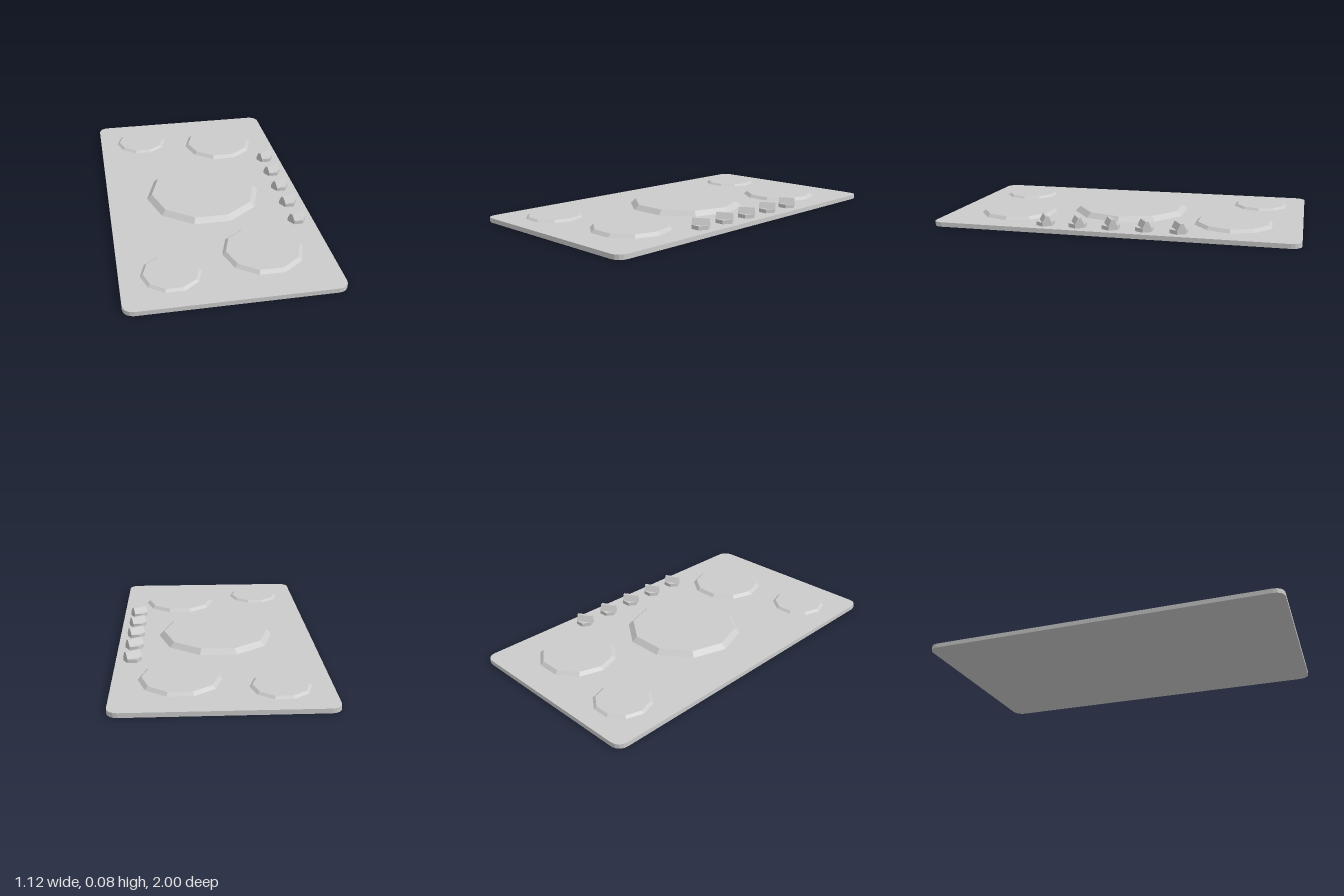
import * as THREE from 'three';

const material = new THREE.MeshStandardMaterial({ color: 0xcccccc, flatShading: true });
const PLATE_TOP = 0.025;

function addMesh(parent, name, geometry) {
  const mesh = new THREE.Mesh(geometry, material);
  mesh.name = name;
  parent.add(mesh);
  return mesh;
}

// Flat slab with small faceted corners
function plateGeometry(w, d, r, h) {
  const x = w / 2, y = d / 2;
  const s = new THREE.Shape();
  s.absarc(x - r, y - r, r, 0, Math.PI / 2);
  s.absarc(-x + r, y - r, r, Math.PI / 2, Math.PI);
  s.absarc(-x + r, -y + r, r, Math.PI, Math.PI * 1.5);
  s.absarc(x - r, -y + r, r, Math.PI * 1.5, Math.PI * 2);
  return new THREE.ExtrudeGeometry(s, { depth: h, bevelEnabled: false, curveSegments: 2 })
    .rotateX(-Math.PI / 2);
}

// Prism standing on the plate, with a corner pointing along +x
function prism(topRadius, baseRadius, height, sides) {
  return new THREE.CylinderGeometry(topRadius, baseRadius, height, sides, 1, false, Math.PI / 2)
    .translate(0, height / 2, 0);
}

// Hexagonal knob with a tapered grip running across it at an angle
function createKnob() {
  const r = 0.051, baseHeight = 0.021, gripHeight = 0.034;
  const length = r * Math.sqrt(3);
  const knob = new THREE.Group();
  knob.name = 'knob';
  addMesh(knob, 'knobBase', prism(r, r, baseHeight, 6));
  const profile = new THREE.Shape([
    new THREE.Vector2(-r / 2, 0), new THREE.Vector2(r / 2, 0),
    new THREE.Vector2(0.008, gripHeight), new THREE.Vector2(-0.008, gripHeight),
  ]);
  const grip = new THREE.ExtrudeGeometry(profile, { depth: length, bevelEnabled: false })
    .translate(0, baseHeight, -length / 2)
    .rotateY(Math.PI * 2 / 3);
  addMesh(knob, 'knobGrip', grip);
  return knob;
}

export function createModel() {
  const model = new THREE.Group();
  model.name = 'cooktop';
  addMesh(model, 'plate', plateGeometry(1.12, 2, 0.055, PLATE_TOP));

  // Burners: x, z, base radius, top radius, height
  const burners = [
    [-0.002, -0.003, 0.333, 0.304, 0.027],
    [0.21, -0.63, 0.218, 0.199, 0.017],
    [0.21, 0.618, 0.218, 0.199, 0.017],
    [-0.294, -0.74, 0.158, 0.143, 0.012],
    [-0.294, 0.734, 0.158, 0.143, 0.012],
  ];
  for (const [x, z, base, top, height] of burners) {
    addMesh(model, 'burner', prism(top, base, height, 10)).position.set(x, PLATE_TOP, z);
  }

  // Row of knobs along the left edge
  for (let i = -2; i <= 2; i++) {
    const knob = createKnob();
    knob.position.set(0.468, PLATE_TOP, i * 0.184 - 0.002);
    model.add(knob);
  }
  return model;
}
